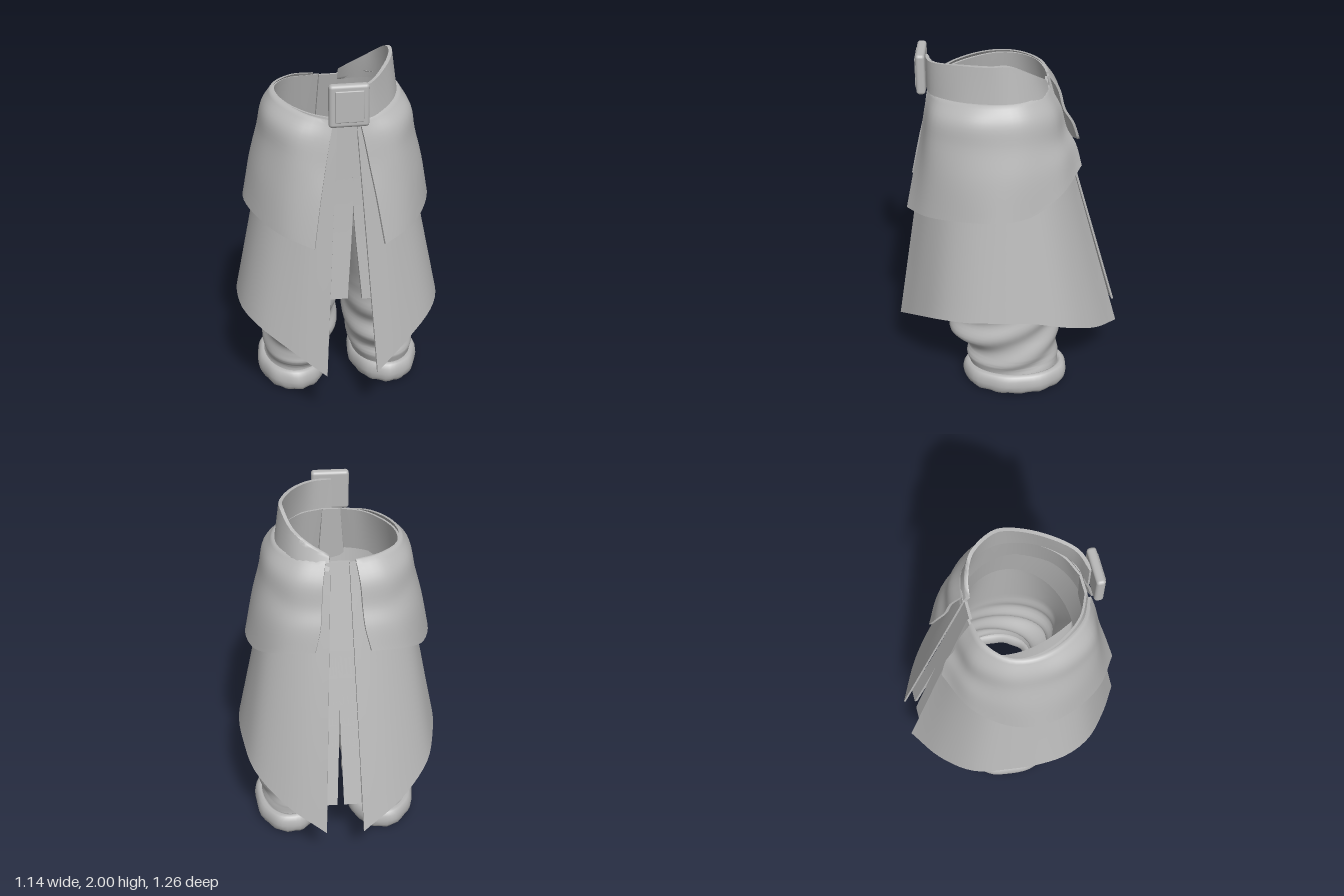
import * as THREE from 'three';
import { toCreasedNormals } from 'three/addons/utils/BufferGeometryUtils.js';
import { RoundedBoxGeometry } from 'three/addons/geometries/RoundedBoxGeometry.js';

const cloth = new THREE.MeshStandardMaterial({ color: 0xb8b8b8, side: THREE.DoubleSide });
cloth.name = 'greyCloth';
const V = (x, y, z) => new THREE.Vector3(x, y, z);
const lerp = THREE.MathUtils.lerp;

// Surface through a grid of columns and rows of points
function grid(columns, rows, point) {
  const positions = [], index = [];
  for (let i = 0; i <= columns; i++)
    for (let j = 0; j <= rows; j++) positions.push(...point(i, j).toArray());
  for (let i = 0; i < columns; i++)
    for (let j = 0; j < rows; j++) {
      const a = i * (rows + 1) + j, b = a + rows + 1;
      index.push(a, a + 1, b, b, a + 1, b + 1);
    }
  const g = new THREE.BufferGeometry();
  g.setAttribute('position', new THREE.Float32BufferAttribute(positions, 3));
  g.setIndex(index);
  return toCreasedNormals(g, 1.2);
}

function part(name, geometry) {
  const mesh = new THREE.Mesh(geometry, cloth);
  mesh.name = name;
  return mesh;
}

// Thick cloth lofted through rows of points (top row first), closed at all edges
function clothPanel(name, rowPoints, thickness, side = 1, shift = 0, nu = 28, nv = 14) {
  const rows = rowPoints.map(r =>
    new THREE.CatmullRomCurve3(r.map(([x, y, z]) => V(side * x + shift, y, z))));
  const sections = [];
  for (let i = 0; i <= nu; i++)
    sections.push(new THREE.CatmullRomCurve3(rows.map(r => r.getPointAt(i / nu))));
  const last = 2 * nv + 1;
  return part(name, grid(nu + 2, last + 1, (i, j) => {
    const k = j % (last + 1);
    const inner = i === 0 || i === nu + 2 || k > nv;
    const v = Math.min(k, last - k) / nv;
    const p = sections[THREE.MathUtils.clamp(i - 1, 0, nu)].getPoint(v);
    if (inner) p.add(V(-p.x, 0, 0.08 - p.z).normalize().multiplyScalar(thickness));
    return p;
  }));
}

// Skirt: long lower layer and short upper layer, front edge to back edge
const lowerLayer = [
  [[.05, 1.76, .415], [.18, 1.77, .35], [.29, 1.78, .21], [.338, 1.79, .06], [.325, 1.79, -.06],
    [.25, 1.79, -.155], [.15, 1.78, -.205], [.05, 1.78, -.22]],
  [[.14, .34, .63], [.32, .45, .515], [.482, .54, .37], [.553, .57, .22], [.57, .58, .05],
    [.55, .565, -.13], [.495, .5, -.32], [.33, .38, -.495], [.105, .27, -.63]],
];
const upperLayer = [
  [[.07, 1.75, .43], [.2, 1.77, .365], [.31, 1.79, .21], [.348, 1.8, .05], [.315, 1.8, -.08],
    [.2, 1.8, -.185], [.08, 1.79, -.215]],
  [[.09, 1.66, .45], [.27, 1.69, .39], [.38, 1.71, .22], [.4, 1.71, .05], [.37, 1.71, -.1],
    [.25, 1.69, -.24], [.1, 1.68, -.28]],
  [[.12, 1.5, .475], [.29, 1.56, .41], [.4, 1.58, .24], [.428, 1.58, .05], [.395, 1.58, -.11],
    [.27, 1.55, -.26], [.11, 1.55, -.315]],
  [[.15, 1.34, .51], [.325, 1.38, .42], [.44, 1.4, .25], [.472, 1.41, .05], [.435, 1.42, -.12],
    [.31, 1.44, -.285], [.12, 1.46, -.365]],
  [[.19, 1.09, .56], [.35, 1.13, .445], [.465, 1.17, .27], [.515, 1.19, .06], [.47, 1.2, -.12],
    [.35, 1.28, -.295], [.15, 1.34, -.4]],
];
const belt = [
  [[0, 1.93, .45], [.12, 1.94, .41], [.24, 1.975, .25], [.305, 1.995, .08], [.305, 2, 0],
    [.25, 1.93, -.13], [.15, 1.86, -.185], [.06, 1.81, -.2]],
  [[0, 1.75, .45], [.14, 1.76, .41], [.28, 1.78, .25], [.335, 1.79, .06], [.32, 1.78, -.06],
    [.24, 1.76, -.18], [.15, 1.75, -.22], [.06, 1.74, -.235]],
];

// Narrow hanging strip from [y, z, left x, right x] rows
const strip = (name, rows) =>
  clothPanel(name, rows.map(([y, z, l, r]) => [[l, y, z], [r, y, z]]), 0.015, 1, 0, 4, 10);

// Trouser leg: ellipses [y, centre x, half width, centre z, half depth], top opening meets at the crotch
const legRings = [
  [.09, .265, .175, -.035, .255], [.16, .255, .175, -.03, .25], [.22, .25, .185, -.025, .26],
  [.34, .235, .2, .015, .3], [.5, .23, .205, .025, .315], [.72, .22, .21, .03, .33],
];
const MID = 0.026, HIP_Y = 1.2, HIP_Z = 0.06, HIP_RX = 0.4, HIP_RZ = 0.32;

function leg(side) {
  const steps = 8, last = legRings.length - 1;
  const ring = (k, a) => {
    const c = Math.cos(a), s = Math.sin(a);
    if (k > last) return c >= 0
      ? V(MID + side * HIP_RX * c, HIP_Y, HIP_Z + HIP_RZ * s)
      : V(MID, 0.9 + 0.3 * s * s, HIP_Z + HIP_RZ * s);
    const [y, x, rx, z, rz] = legRings[k];
    return V(MID + side * (x + rx * c), y, z + rz * s);
  };
  return part('trouserLeg', grid(48, steps * (last + 1), (i, j) => {
    const a = i / 48 * Math.PI * 2;
    const k = Math.min(Math.floor(j / steps), last);
    const p = ring(k, a).lerp(ring(k + 1, a), j / steps - k);
    // Uneven sagging folds that droop at the front and fade upwards
    const fade = THREE.MathUtils.smoothstep(p.y, .1, .2) * (1 - THREE.MathUtils.smoothstep(p.y, .42, .75));
    const depth = 0.01 + 0.012 * Math.max(0, Math.sin(a + 0.3 * side));
    const fold = depth * fade * Math.sin(32 * (p.y + 0.1 * Math.sin(a) + 0.03 * Math.cos(2 * a)) + side * 0.6);
    p.x += side * Math.cos(a) * fold;
    p.z += Math.sin(a) * fold;
    return p;
  }));
}

// Padded cuff with a slightly crumpled lower edge
function cuff(side) {
  return part('cuff', grid(48, 12, (i, j) => {
    const a = i / 48 * Math.PI * 2, b = j / 12 * Math.PI * 2;
    const low = Math.max(0, -Math.sin(b));
    const out = 0.034 * Math.cos(b) * (1 + 0.1 * Math.sin(9 * a));
    const y = 0.066 + 0.066 * Math.sin(b) + low * 0.005 * (1 + Math.sin(14 * a));
    return V(MID + side * (0.27 + (0.17 + out) * Math.cos(a)), y,
      -0.04 + (0.265 + out) * Math.sin(a));
  }));
}

export function createModel() {
  const model = new THREE.Group();
  model.name = 'layeredSkirtAndTrousers';

  // Mirrored skirt layers and legs
  for (const side of [1, -1]) {
    const half = new THREE.Group();
    half.name = side > 0 ? 'leftHalf' : 'rightHalf';
    half.add(
      clothPanel('lowerSkirt', lowerLayer, 0.012, side, 0.005, 32),
      clothPanel('upperSkirt', upperLayer, 0.015, side, 0, 28, 20),
      leg(side), cuff(side));
    model.add(half);
  }

  // Trouser hips, ending against the inside of the skirt
  model.add(part('trouserHips', grid(48, 6, (i, j) => {
    const a = i / 48 * Math.PI * 2, t = j / 6;
    return V(lerp(MID, 0, t) + lerp(HIP_RX, .375, t) * Math.cos(a), lerp(HIP_Y, 1.5, t),
      lerp(HIP_Z, .08, t) + lerp(HIP_RZ, .345, t) * Math.sin(a));
  })));

  // Split hanging panels at front and back
  model.add(
    strip('frontPanelWide', [[1.76, .415, -.05, .035], [1.28, .44, -.085, .035], [.74, .49, -.12, 0]]),
    strip('frontPanelNarrow', [[1.76, .415, .03, .055], [1.28, .44, .035, .09], [.73, .49, .08, .13]]),
    strip('backPanelRight', [[1.78, -.21, -.05, .022], [1, -.41, -.075, .022], [.42, -.565, -.09, .008]]),
    strip('backPanelLeft', [[1.78, -.21, .02, .055], [1, -.41, .022, .09], [.42, -.565, .045, .12]]));

  // Half belt and buckle
  model.add(clothPanel('belt', belt, 0.02, 1, 0, 28, 6));
  const buckle = new THREE.Group();
  buckle.name = 'buckle';
  const plate = part('bucklePlate', new RoundedBoxGeometry(.21, .23, .05, 3, .018));
  const face = part('buckleFace', new RoundedBoxGeometry(.15, .17, .012, 2, .005));
  face.position.z = .025;
  buckle.add(plate, face);
  buckle.position.set(.005, 1.853, .465);
  model.add(buckle);
  return model;
}
